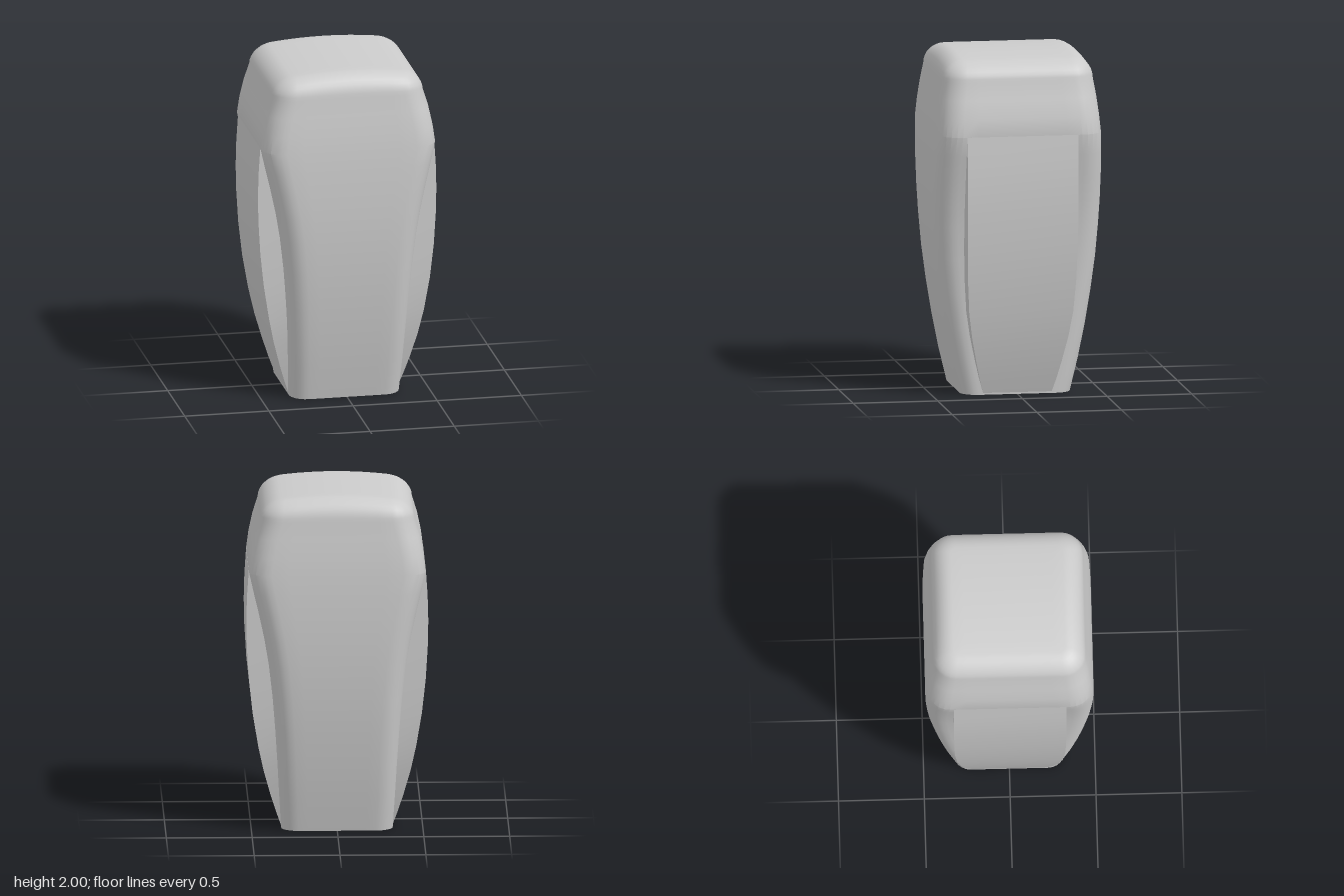
import * as THREE from 'three';
import { toCreasedNormals } from 'three/addons/utils/BufferGeometryUtils.js';

const CORNER_STEPS = 6, SIDE_STEPS = 8;
const HOLE_RADIUS = 0.28, HOLE_DEPTH = 0.1;
const PANEL_TOP = 1.55;

// height, half width, half depth of the body up to its rounded shoulder
const BODY = [
  [0, 0.325, 0.325], [0.2, 0.337, 0.372], [0.4, 0.348, 0.411], [0.6, 0.361, 0.443],
  [0.8, 0.377, 0.468], [1.0, 0.4, 0.483], [1.15, 0.425, 0.489], [1.3, 0.457, 0.49],
  [1.43, 0.488, 0.487], [1.55, 0.515, 0.482], [1.65, 0.502, 0.473], [1.76, 0.479, 0.46],
];

// height, outer x, half depth of the side panels
const PANEL = [
  [0, 0.322, 0.2], [0.1, 0.356, 0.228], [0.2, 0.387, 0.252], [0.35, 0.428, 0.284],
  [0.5, 0.46, 0.307], [0.7, 0.493, 0.32], [0.9, 0.515, 0.325], [1.1, 0.527, 0.327],
  [1.25, 0.53, 0.327], [1.4, 0.526, 0.327], [PANEL_TOP, 0.516, 0.327],
];

function bodyHalfWidth(y) {
  const i = Math.max(1, BODY.findIndex((row) => row[0] >= y));
  const [a, b] = [BODY[i - 1], BODY[i]];
  return THREE.MathUtils.lerp(a[1], b[1], (y - a[0]) / (b[0] - a[0]));
}

// Rounded rectangle in plan, with straight sides subdivided
function roundedRect(hx, hz, r) {
  const corners = [[1, 1], [-1, 1], [-1, -1], [1, -1]];
  const pts = [];
  corners.forEach(([sx, sz], k) => {
    for (let i = 0; i <= CORNER_STEPS; i++) {
      const a = (k + i / CORNER_STEPS) * Math.PI / 2;
      pts.push(new THREE.Vector2(sx * (hx - r) + r * Math.cos(a), sz * (hz - r) + r * Math.sin(a)));
    }
    const [nx, nz] = corners[(k + 1) % 4];
    const a = (k + 1) * Math.PI / 2;
    const end = new THREE.Vector2(nx * (hx - r) + r * Math.cos(a), nz * (hz - r) + r * Math.sin(a));
    const start = pts[pts.length - 1].clone();
    for (let i = 1; i < SIDE_STEPS; i++) pts.push(start.clone().lerp(end, i / SIDE_STEPS));
  });
  return pts;
}

// Skin between rings of equal point count, listed from bottom to top
function loft(rings, closed, crease) {
  const n = rings[0].length;
  const index = [];
  for (let j = 0; j < rings.length - 1; j++) {
    for (let i = 0; i < (closed ? n : n - 1); i++) {
      const a = j * n + i, b = j * n + (i + 1) % n;
      index.push(a, a + n, b, b, a + n, b + n);
    }
  }
  const g = new THREE.BufferGeometry().setFromPoints(rings.flat());
  g.setIndex(index);
  return toCreasedNormals(g, crease);
}

export function createModel() {
  const group = new THREE.Group();
  const material = new THREE.MeshStandardMaterial({ color: 0xcccccc });
  const thin = new THREE.MeshStandardMaterial({ color: 0xcccccc, side: THREE.DoubleSide });
  const add = (name, geometry, mat = material) => {
    const mesh = new THREE.Mesh(geometry, mat);
    mesh.name = name;
    group.add(mesh);
    return mesh;
  };

  // Body: tapered walls, rounded shoulder, top crowned across x
  const ring = (y, hx, hz, r, crown, s = 1) => roundedRect(hx, hz, r).map((p) => new THREE.Vector3(
    p.x * s, y + crown * 0.025 * (1 - (p.x * s / 0.36) ** 2), p.y * s));
  const rings = BODY.map(([y, hx, hz]) => ring(y, hx, hz, y < PANEL_TOP ? 0.1 + 0.03 * y / PANEL_TOP : 0.13, 0));
  for (let i = 0; i <= 8; i++) {
    const t = i / 8 * Math.PI / 2, c = Math.cos(t), s = Math.sin(t);
    rings.push(ring(1.86 + 0.115 * s, 0.33 + 0.119 * c, 0.325 + 0.12 * c, 0.03 + 0.1 * c, s));
  }
  for (const s of [0.8, 0.6, 0.4, 0.2, 0.001]) rings.push(ring(1.975, 0.33, 0.325, 0.03, 1, s));
  add('body', loft(rings, true, 0.36));

  // Raised side panels standing proud of the waisted flanks
  for (const side of [1, -1]) {
    const sections = PANEL.map(([y, x, z]) => {
      const inner = Math.min(bodyHalfWidth(y), x) - 0.03;
      return [[inner, -z], [x, -z], [x, z], [inner, z]]
        .map(([px, pz]) => new THREE.Vector3(side * px, y, side * pz));
    });
    add(side > 0 ? 'leftPanel' : 'rightPanel', loft(sections, false, 0.4), thin);
  }

  // Underside with a round socket
  const outline = new THREE.Shape(roundedRect(0.325, 0.325, 0.1));
  const hole = new THREE.Path();
  hole.absarc(0, 0, HOLE_RADIUS, 0, Math.PI * 2, true);
  outline.holes.push(hole);
  add('underside', new THREE.ShapeGeometry(outline, 16).rotateX(Math.PI / 2));

  const wall = new THREE.CylinderGeometry(HOLE_RADIUS, HOLE_RADIUS, HOLE_DEPTH, 32, 1, true);
  add('socketWall', wall.translate(0, HOLE_DEPTH / 2, 0), thin);
  const floor = new THREE.CircleGeometry(HOLE_RADIUS, 32).rotateX(Math.PI / 2);
  add('socketFloor', floor.translate(0, HOLE_DEPTH, 0));

  return group;
}
